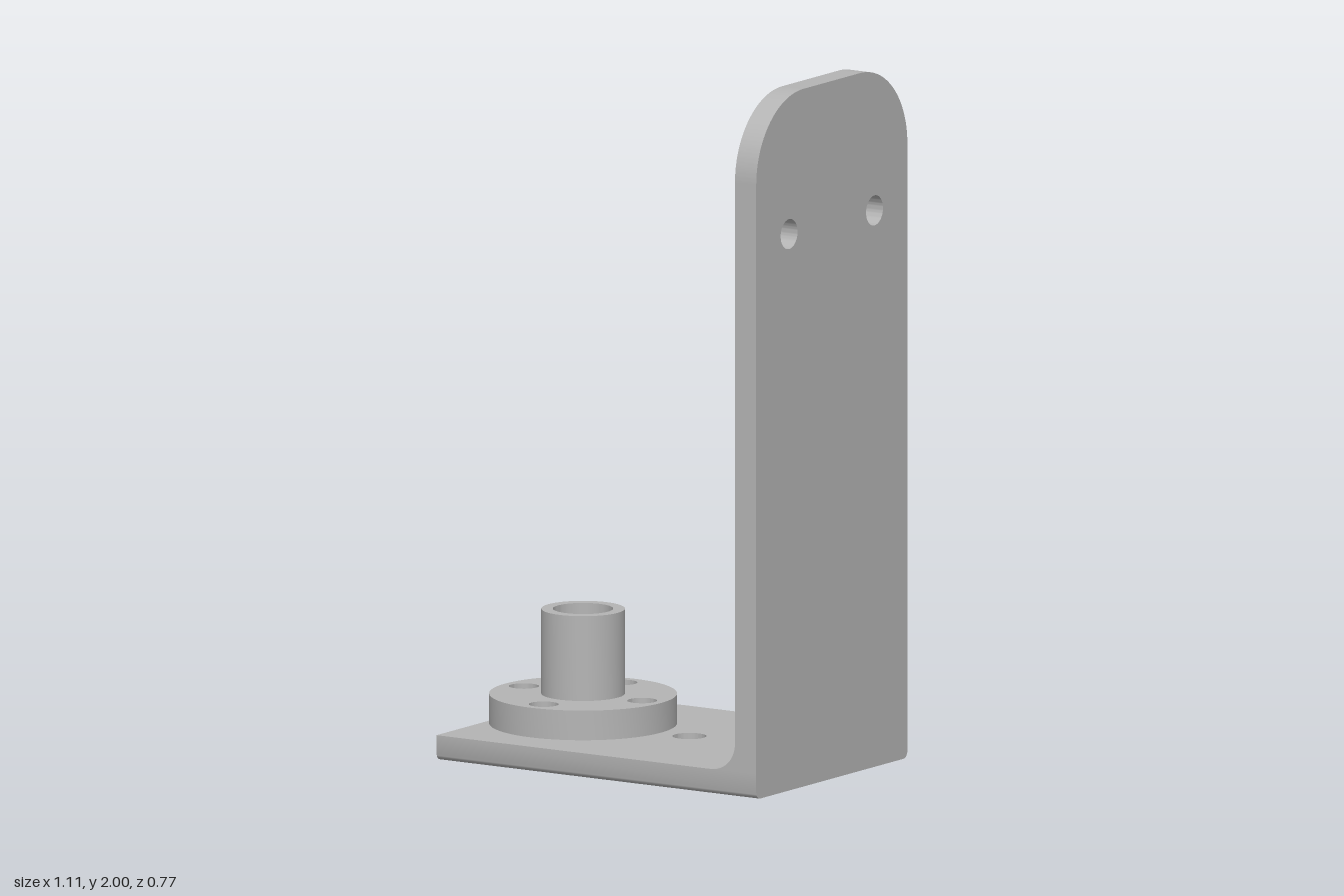
import * as THREE from 'three';
import { toCreasedNormals } from 'three/addons/utils/BufferGeometryUtils.js';

const T = 0.072;              // sheet thickness
const W = 0.384;              // half width
const LEFT = -0.53, RIGHT = 0.552;
const HUB_X = -0.29;          // hub axis
const FLANGE_TOP = 0.157;

const steel = new THREE.MeshStandardMaterial({ color: 0xb4b4b4 });
steel.name = 'steel grey';

function addHole(shape, x, y, r) {
  const hole = new THREE.Path();
  hole.absarc(x, y, r, 0, Math.PI * 2, true);
  shape.holes.push(hole);
}

function extrude(shape, depth, steps = 1) {
  return new THREE.ExtrudeGeometry(shape, { depth, steps, bevelEnabled: false, curveSegments: 32 });
}

function part(name, geometry) {
  const mesh = new THREE.Mesh(toCreasedNormals(geometry, 0.6), steel);
  mesh.name = name;
  return mesh;
}

// Horizontal plate; its lower long edges are rounded by moving the extrusion layers
function basePlate() {
  const s = new THREE.Shape();
  s.moveTo(LEFT, -W).lineTo(RIGHT, -W).lineTo(RIGHT, W).lineTo(LEFT, W).closePath();
  addHole(s, HUB_X, 0, 0.118);
  addHole(s, HUB_X, 0.2, 0.042);
  addHole(s, HUB_X, -0.2, 0.042);
  addHole(s, 0.07, 0, 0.048);
  const steps = 6, r = 0.02;
  const g = extrude(s, T, steps);
  const p = g.attributes.position;
  for (let i = 0; i < p.count; i++) {
    const k = Math.round(p.getZ(i) / T * steps);
    if (k === steps) continue;
    const a = k / (steps - 1) * Math.PI / 2;
    if (Math.abs(p.getY(i)) > W - 0.001) {
      p.setY(i, Math.sign(p.getY(i)) * (W - r * (1 - Math.sin(a))));
    }
    p.setZ(i, r * (1 - Math.cos(a)));
  }
  g.rotateX(-Math.PI / 2);
  return part('basePlate', g);
}

// Vertical plate with rounded top corners and two screw holes
function uprightPlate() {
  const r = 0.24, top = 2;
  const s = new THREE.Shape();
  s.moveTo(-W, T).lineTo(W, T).lineTo(W, top - r);
  s.absarc(W - r, top - r, r, 0, Math.PI / 2, false);
  s.lineTo(-W + r, top);
  s.absarc(-W + r, top - r, r, Math.PI / 2, Math.PI, false);
  s.closePath();
  for (const side of [-1, 1]) addHole(s, side * 0.217, 1.595, 0.043);
  const g = extrude(s, T).rotateY(Math.PI / 2).translate(RIGHT - T, 0, 0);
  return part('uprightPlate', g);
}

// Concave fillet on the inside of the bend
function bendFillet() {
  const r = 0.08, x = RIGHT - T;
  const s = new THREE.Shape();
  s.moveTo(x, T).lineTo(x, T + r);
  s.absarc(x - r, T + r, r, 0, -Math.PI / 2, true);
  s.closePath();
  return part('bendFillet', extrude(s, 2 * W).translate(0, 0, -W));
}

// Round flange with bore and four bolt holes
function hubFlange() {
  const s = new THREE.Shape();
  s.absarc(0, 0, 0.265, 0, Math.PI * 2, false);
  addHole(s, 0, 0, 0.085);
  for (let i = 0; i < 4; i++) {
    const a = i * Math.PI / 2;
    addHole(s, 0.2 * Math.cos(a), 0.2 * Math.sin(a), 0.042);
  }
  const g = extrude(s, FLANGE_TOP - T).rotateX(-Math.PI / 2).translate(HUB_X, T, 0);
  return part('hubFlange', g);
}

// Hollow collar on the flange
function hubCollar() {
  const s = new THREE.Shape();
  s.absarc(0, 0, 0.118, 0, Math.PI * 2, false);
  addHole(s, 0, 0, 0.085);
  const g = extrude(s, 0.4 - FLANGE_TOP).rotateX(-Math.PI / 2).translate(HUB_X, FLANGE_TOP, 0);
  return part('hubCollar', g);
}

export function createModel() {
  const model = new THREE.Group();
  model.name = 'bracketWithHub';
  const bracket = new THREE.Group();
  bracket.name = 'bracket';
  bracket.add(basePlate(), uprightPlate(), bendFillet());
  const hub = new THREE.Group();
  hub.name = 'hub';
  hub.add(hubFlange(), hubCollar());
  model.add(bracket, hub);
  return model;
}
